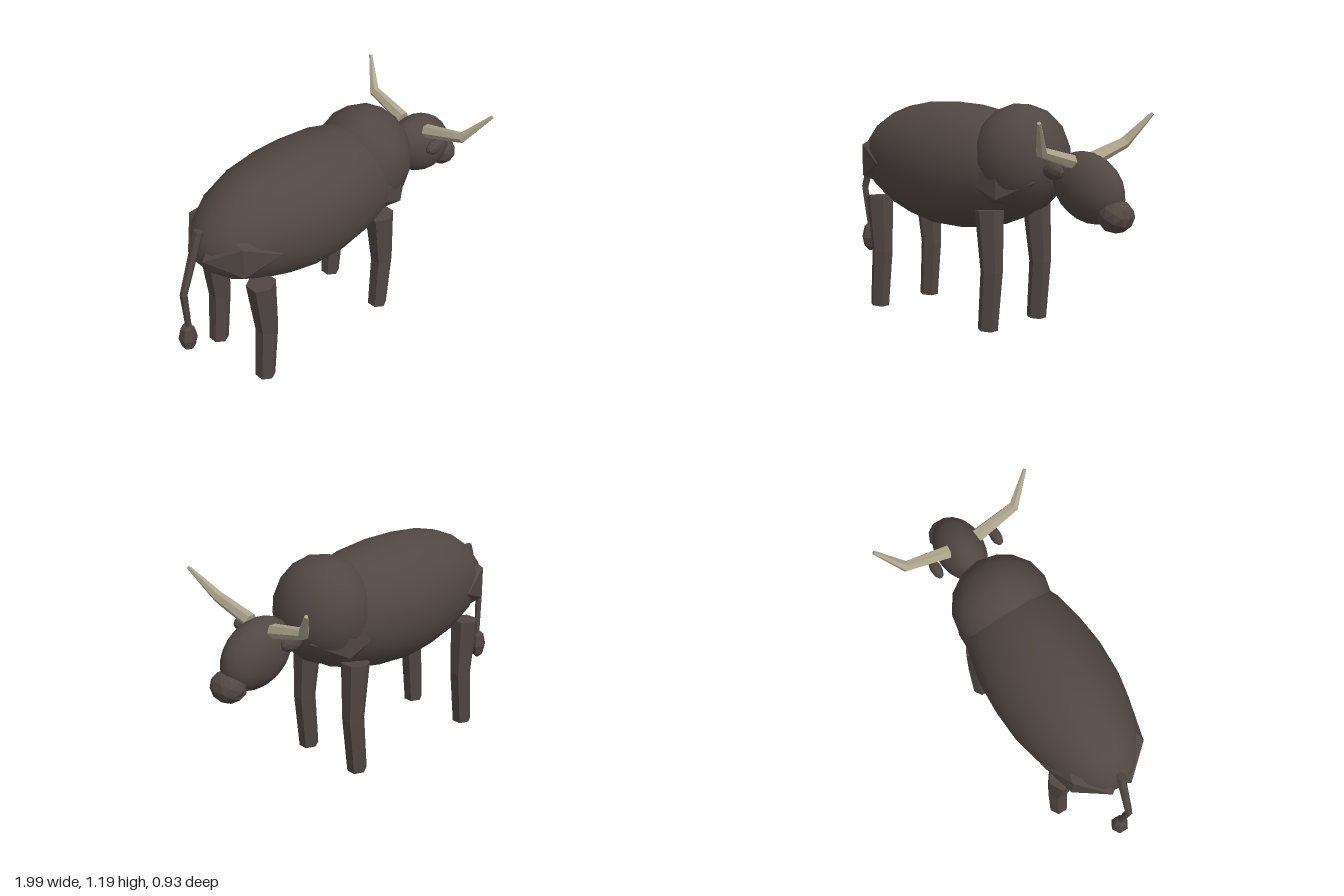
import * as THREE from 'three';
import { mergeVertices } from 'three/addons/utils/BufferGeometryUtils.js';

export function createModel() {
  const model = new THREE.Group();
  const hide = new THREE.MeshStandardMaterial({ color: 0x514743 });
  hide.name = 'darkBrownHide';
  const horn = new THREE.MeshStandardMaterial({ color: 0xaca48c });
  horn.name = 'paleHorn';

  const add = (name, geometry, material = hide) => {
    const mesh = new THREE.Mesh(geometry, material);
    mesh.name = name;
    model.add(mesh);
  };

  // Ellipsoid blob: smooth or faceted, with optional tilt, yaw and lift of its rear half
  const blob = (name, center, radii, detail, smooth, { tilt = 0, yaw = 0, rearLift = 0 } = {}) => {
    let g = new THREE.IcosahedronGeometry(1, detail);
    g.deleteAttribute('uv');
    g.deleteAttribute('normal');
    const p = g.attributes.position;
    for (let i = 0; i < p.count; i++) {
      const t = Math.max(0, -p.getX(i));
      p.setY(i, p.getY(i) + rearLift * t * t * (1 - t));
    }
    g.scale(...radii);
    g.rotateZ(tilt);
    g.rotateY(yaw);
    if (smooth) g = mergeVertices(g, 1e-4);
    g.computeVertexNormals();
    g.translate(...center);
    add(name, g);
  };

  // Faceted limb: rings of varying radius along a bent path, capped
  const limb = (name, points, radii, sides, material = hide, ref = [0, 0, 1]) => {
    const path = points.map((p) => new THREE.Vector3(...p));
    const pos = [];
    const index = [];
    path.forEach((c, j) => {
      const before = path[Math.max(j - 1, 0)];
      const after = path[Math.min(j + 1, path.length - 1)];
      const t = after.clone().sub(before).normalize();
      const u = new THREE.Vector3(...ref);
      u.addScaledVector(t, -u.dot(t)).normalize();
      const w = t.clone().cross(u);
      for (let i = 0; i < sides; i++) {
        const a = (i / sides) * Math.PI * 2;
        const q = c.clone()
          .addScaledVector(u, Math.cos(a) * radii[j])
          .addScaledVector(w, Math.sin(a) * radii[j]);
        pos.push(q.x, q.y, q.z);
        if (j < path.length - 1) {
          const k = j * sides;
          const n = (i + 1) % sides;
          index.push(k + i, k + n, k + sides + n, k + i, k + sides + n, k + sides + i);
        }
      }
    });
    const last = (path.length - 1) * sides;
    for (let i = 1; i < sides - 1; i++) {
      index.push(0, i + 1, i, last, last + i, last + i + 1);
    }
    const g = new THREE.BufferGeometry();
    g.setAttribute('position', new THREE.Float32BufferAttribute(pos, 3));
    g.setIndex(index);
    const flat = g.toNonIndexed();
    flat.computeVertexNormals();
    add(name, flat, material);
  };

  // Barrel body, rising towards the rump
  blob('body', [-0.18, 0.835, 0], [0.685, 0.347, 0.328], 3, true, { rearLift: 0.35 });

  // Shoulder hump, head and muzzle
  blob('shoulderHump', [0.285, 0.9, 0], [0.26, 0.294, 0.272], 2, true);
  blob('head', [0.735, 0.787, 0], [0.217, 0.17, 0.133], 3, true, { tilt: -0.5 });
  blob('muzzle', [0.912, 0.66, 0.005], [0.09, 0.085, 0.102], 1, false);

  for (const s of [1, -1]) {
    const label = (part) => `${part}${s > 0 ? 'Left' : 'Right'}`;

    // Angular muscle masses at chest and rump, mostly sunk into the body
    blob(label('chestMuscle'), [0.28, 0.8, s * 0.12], [0.23, 0.17, 0.165], 0, false, { yaw: s * 0.35 });
    blob(label('haunch'), [-0.66, 0.835, s * 0.1], [0.235, 0.168, 0.16], 0, false, { yaw: s * -0.6 });

    // Ears
    blob(label('ear'), [0.66, 0.878, s * 0.187], [0.064, 0.043, 0.031], 1, false);

    // Bent hexagonal legs
    for (const [part, x] of [['foreLeg', 0.23], ['hindLeg', -0.62]]) {
      limb(label(part),
        [[x + 0.002, 0.64, s * 0.19], [x + 0.025, 0.32, s * 0.196], [x, 0.003, s * 0.198]],
        [0.078, 0.06, 0.054], 6);
    }

    // Horns sweeping outward, then up
    limb(label('horn'),
      [[0.692, 0.922, s * 0.09], [0.707, 0.988, s * 0.335], [0.794, 1.139, s * 0.458]],
      [0.039, 0.03, 0.01], 6, horn, [1, 0, 0]);
  }

  // Tail with a tuft
  limb('tail',
    [[-0.84, 0.98, 0], [-0.962, 0.64, 0], [-0.938, 0.39, -0.018]],
    [0.026, 0.02, 0.016], 6);
  limb('tailTuft',
    [[-0.942, 0.41, -0.02], [-0.944, 0.395, -0.02], [-0.946, 0.33, -0.02], [-0.946, 0.275, -0.02], [-0.944, 0.25, -0.02]],
    [0.02, 0.036, 0.05, 0.037, 0.01], 6);

  return model;
}
